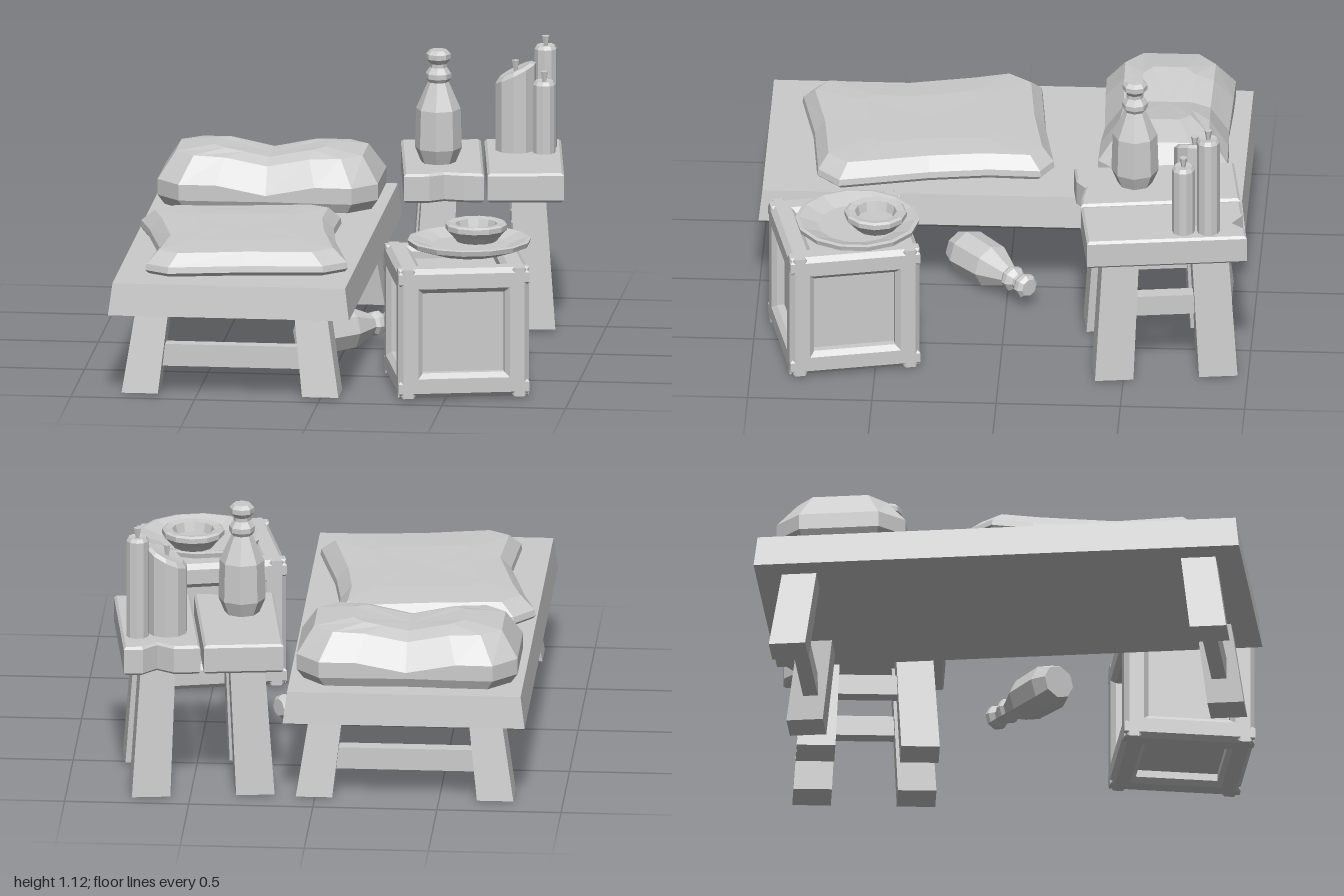
import * as THREE from 'three';

const mat = new THREE.MeshStandardMaterial({ color: 0xcccccc, flatShading: true, side: THREE.DoubleSide });

function add(parent, name, geometry, x = 0, y = 0, z = 0) {
  const mesh = new THREE.Mesh(geometry, mat);
  mesh.name = name;
  mesh.position.set(x, y, z);
  parent.add(mesh);
  return mesh;
}

function subgroup(parent, name, x = 0, z = 0, turn = 0) {
  const g = new THREE.Group();
  g.name = name;
  g.position.set(x, 0, z);
  g.rotation.y = turn;
  parent.add(g);
  return g;
}

// Box standing on y = 0 whose top is scaled and shifted
function post(w, h, d, shiftX = 0, shiftZ = 0, sx = 1, sz = 1) {
  const g = new THREE.BoxGeometry(w, h, d).translate(0, h / 2, 0);
  const p = g.attributes.position;
  for (let i = 0; i < p.count; i++) {
    if (p.getY(i) > h / 2) p.setXYZ(i, p.getX(i) * sx + shiftX, h, p.getZ(i) * sz + shiftZ);
  }
  g.computeVertexNormals();
  return g;
}

// Four splayed legs; x and z are the foot centres
function legs(parent, x, z, w, h, splay) {
  for (const sx of [-1, 1]) for (const sz of [-1, 1]) {
    add(parent, 'leg', post(w, h, w, -sx * splay, -sz * splay, 0.9, 0.95), sx * x, 0, sz * z);
  }
}

// Soft pad: an outline [x, z] repeated at levels [scaleX, scaleZ, y]
function pad(outline, levels, lift = () => 0) {
  const n = outline.length, pos = [], index = [];
  levels.forEach(([sx, sz, y], k) => outline.forEach(([x, z]) => {
    pos.push(x * sx, y + (k > 1 ? lift(x * sx, z * sz) : 0), z * sz);
  }));
  for (let k = 0; k < levels.length - 1; k++) for (let i = 0; i < n; i++) {
    const a = k * n + i, b = k * n + (i + 1) % n;
    index.push(a, a + n, b);
    if (k < levels.length - 2) index.push(b, a + n, b + n);
  }
  const g = new THREE.BufferGeometry();
  g.setAttribute('position', new THREE.Float32BufferAttribute(pos, 3));
  g.setIndex(index);
  const flat = g.toNonIndexed();
  flat.computeVertexNormals();
  return flat;
}

const lathe = (profile, sides) =>
  new THREE.LatheGeometry(profile.map(([r, y]) => new THREE.Vector2(r, y)), sides);

const shapeOf = (pts) => new THREE.Shape(pts.map(([x, y]) => new THREE.Vector2(x, y)));

function bottle() {
  return lathe([[0, 0], [0.07, 0], [0.095, 0.06], [0.09, 0.22], [0.042, 0.33], [0.052, 0.345],
    [0.052, 0.365], [0.034, 0.39], [0.034, 0.405], [0.05, 0.425], [0.05, 0.445], [0.036, 0.46], [0, 0.46]], 8);
}

function candle(parent, x, z, r, h, slope = 0) {
  const g = subgroup(parent, 'candle', x, z);
  g.position.y = 0.65;
  const body = lathe([[0, 0], [r, 0], [r, h - 0.015], [r * 0.8, h], [0, h - 0.005]], 10);
  const p = body.attributes.position;
  for (let i = 0; i < p.count; i++) {
    if (p.getY(i) > h / 2) p.setY(i, p.getY(i) + slope * p.getX(i));
  }
  body.computeVertexNormals();
  add(g, 'wax', body);
  add(g, 'wick', new THREE.CylinderGeometry(0.016, 0.008, 0.045, 6), 0, h + 0.015, 0);
}

function buildBed(root) {
  const bed = subgroup(root, 'bed', -0.363, 0.02);
  add(bed, 'bedBoard', post(0.975, 0.13, 1.96, 0, 0, 0.965, 0.985), 0, 0.33, 0);
  legs(bed, 0.365, 0.85, 0.147, 0.335, 0.045);
  for (const s of [-1, 1]) add(bed, 'crossbar', new THREE.BoxGeometry(0.62, 0.09, 0.06), 0, 0.145, s * 0.825);

  // Pillow with a dip across its middle
  const quarter = [[0.445, 0.14], [0.445, 0.16], [0.35, 0.26], [0.2, 0.258]];
  const back = [[-0.445, 0], ...quarter.map(([x, z]) => [-x, -z]), [0, -0.25],
    ...quarter.slice().reverse().map(([x, z]) => [x, -z])];
  const pillow = [...back, ...back.map(([x, z]) => [-x, -z])];
  add(bed, 'pillow', pad(pillow,
    [[0.94, 0.92, 0.46], [1, 1, 0.5], [1, 1, 0.565], [0.85, 0.7, 0.67], [0.5, 0.4, 0.693], [0, 0, 0.693]],
    (x) => -0.04 * (1 - Math.min(1, Math.abs(x) / 0.2))), -0.002, 0, -0.64);

  // Slightly twisted flat cushion
  const cushion = [[-0.83, 0], [-0.75, -0.1], [-0.43, -0.13], [-0.12, -0.18], [-0.03, -0.13], [-0.035, 0.08],
    [0, 0.32], [0.085, 0.68], [-0.005, 0.77], [-0.32, 0.8], [-0.625, 0.86], [-0.72, 0.8], [-0.7, 0.5],
    [-0.78, 0.16]].map(([x, z]) => [x + 0.37, z - 0.34]);
  add(bed, 'cushion', pad(cushion,
    [[0.97, 0.97, 0.46], [1, 1, 0.475], [0.99, 0.99, 0.5], [0.86, 0.9, 0.55], [0.5, 0.5, 0.558], [0, 0, 0.555]]),
  -0.007, 0, 0.32);
}

function buildTable(root) {
  const table = subgroup(root, 'sideTable', 0.484, -0.636, 0.13);
  // Two planks, each with a chipped end
  const planks = [
    [[-0.322, -0.322], [0, -0.322], [0, 0.322], [-0.08, 0.312], [-0.16, 0.29], [-0.22, 0.322], [-0.322, 0.322]],
    [[0.014, -0.322], [0.12, -0.322], [0.185, -0.27], [0.245, -0.322], [0.322, -0.322], [0.322, 0.322], [0.014, 0.322]],
  ];
  for (const pts of planks) {
    const g = new THREE.ExtrudeGeometry(shapeOf(pts), { depth: 0.1, bevelSize: 0.01, bevelThickness: 0.01,
      bevelOffset: -0.01, bevelSegments: 1 });
    add(table, 'plank', g.rotateX(Math.PI / 2), 0, 0.64, 0);
  }
  legs(table, 0.21, 0.21, 0.155, 0.535, 0.03);
  for (const s of [-1, 1]) add(table, 'stretcher', new THREE.BoxGeometry(0.06, 0.085, 0.36), s * 0.195, 0.3, 0);
}

function buildCrate(root) {
  const crate = subgroup(root, 'crate', 0.52, 0.635, 0.222);
  const a = 0.245, b = 0.185;
  // Bevelled frame on each of the six sides around a sunken core
  const frame = shapeOf([[-a, -a], [a, -a], [a, a], [-a, a]]);
  frame.holes.push(shapeOf([[-b, -b], [-b, b], [b, b], [b, -b]]));
  const geo = new THREE.ExtrudeGeometry(frame, { depth: 0.04, bevelSize: 0.02, bevelThickness: 0.02, bevelSegments: 1 });
  geo.translate(0, 0, 0.205);
  for (let i = 0; i < 6; i++) {
    const m = add(crate, 'frame', geo, 0, 0.267, 0);
    if (i < 4) m.rotation.y = i * Math.PI / 2;
    else m.rotation.x = (i === 4 ? 1 : -1) * Math.PI / 2;
  }
  add(crate, 'panels', new THREE.BoxGeometry(0.43, 0.43, 0.43), 0, 0.267, 0);
}

export function createModel() {
  const root = new THREE.Group();
  root.name = 'bedroomSet';
  buildBed(root);
  buildTable(root);
  buildCrate(root);

  // Tableware on the crate
  add(root, 'plate', lathe([[0, 0], [0.15, 0], [0.245, 0.032], [0.25, 0.052], [0.235, 0.055], [0.16, 0.028], [0, 0.028]], 14),
    0.565, 0.535, 0.58);
  add(root, 'bowl', lathe([[0, 0], [0.08, 0], [0.105, 0.03], [0.125, 0.05], [0.125, 0.07], [0.115, 0.077], [0.085, 0.072],
    [0.075, 0.035], [0, 0.035]], 12), 0.585, 0.562, 0.505);

  // Standing and fallen bottles
  add(root, 'bottle', bottle(), 0.318, 0.65, -0.525);
  const foot = new THREE.Vector3(-0.15, 0.085, 0.205), tip = new THREE.Vector3(0.19, 0.092, -0.085);
  const fallen = add(root, 'fallenBottle', bottle(), foot.x, foot.y, foot.z);
  fallen.quaternion.setFromUnitVectors(new THREE.Vector3(0, 1, 0), tip.sub(foot).normalize());

  // Candles
  candle(root, 0.602, -0.78, 0.083, 0.33, 0.5);
  candle(root, 0.717, -0.84, 0.046, 0.42);
  candle(root, 0.722, -0.74, 0.046, 0.295);
  return root;
}
